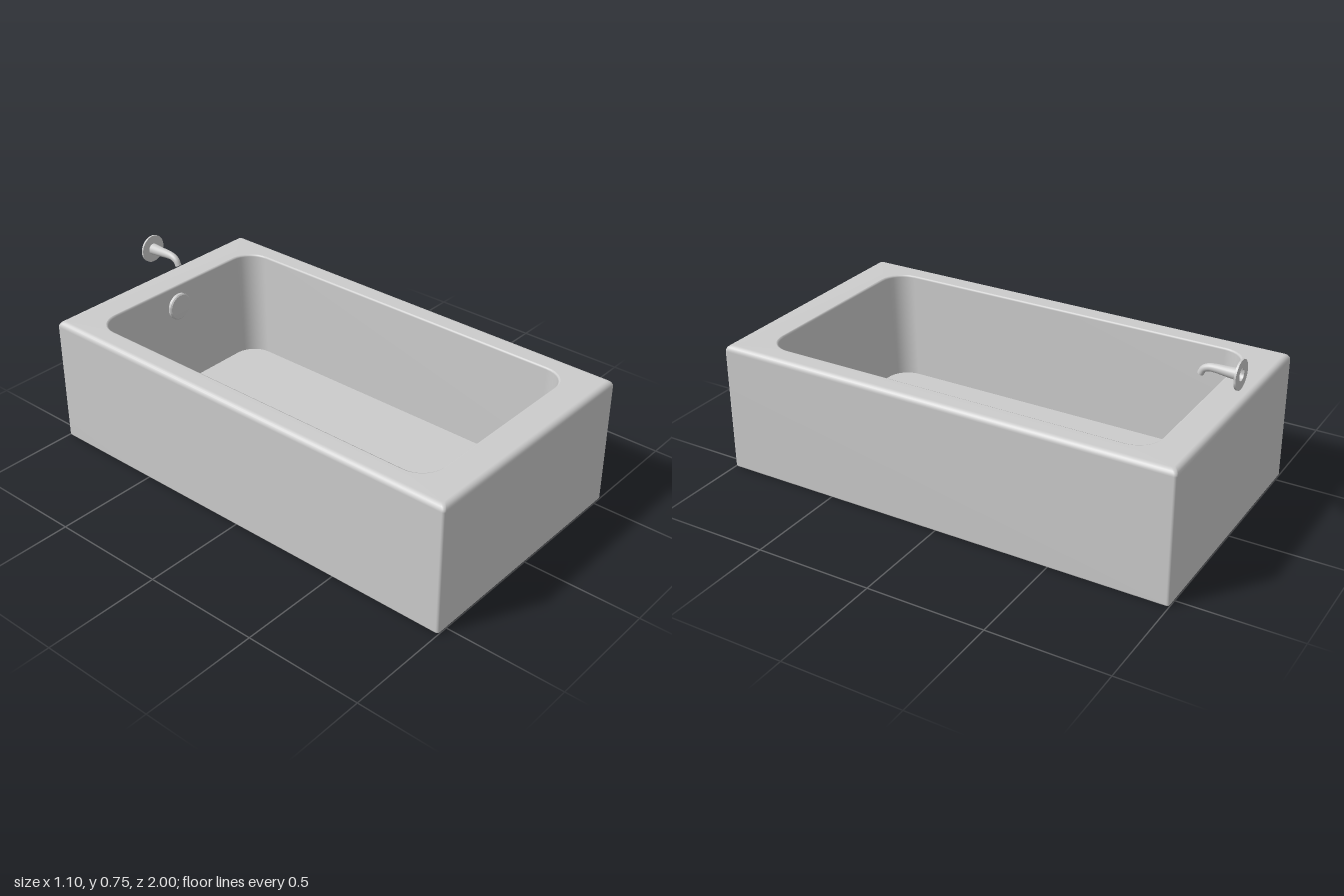
import * as THREE from 'three';
import { toCreasedNormals } from 'three/addons/utils/BufferGeometryUtils.js';

const CORNER = 8;

// Rounded rectangle, counter-clockwise seen from above
function ring([hx, hz, r, y, zc = 0]) {
  const pts = [];
  const signs = [[1, -1], [-1, -1], [-1, 1], [1, 1]];
  signs.forEach(([sx, sz], q) => {
    for (let i = 0; i <= CORNER; i++) {
      const a = (q + i / CORNER) * Math.PI / 2;
      pts.push(sx * (hx - r) + r * Math.cos(a), y, zc + sz * (hz - r) - r * Math.sin(a));
    }
  });
  return pts;
}

// Skin through a list of rounded rectangles
function loft(sections) {
  const n = 4 * (CORNER + 1);
  const pos = sections.flatMap(ring);
  const index = [];
  for (let k = 0; k < sections.length - 1; k++) {
    for (let i = 0; i < n; i++) {
      const a = k * n + i, b = k * n + (i + 1) % n;
      index.push(a, b, a + n, b, b + n, a + n);
    }
  }
  const g = new THREE.BufferGeometry();
  g.setAttribute('position', new THREE.Float32BufferAttribute(pos, 3));
  g.setIndex(index);
  g.computeVertexNormals();
  return g;
}

// Turned part whose axis points to +z
function turned(profile) {
  const g = new THREE.LatheGeometry(profile.map(p => new THREE.Vector2(...p)), 40);
  return toCreasedNormals(g.rotateX(Math.PI / 2), 0.5);
}

export function createModel() {
  const group = new THREE.Group();
  const enamel = new THREE.MeshStandardMaterial({ color: 0xcccccc, side: THREE.DoubleSide });
  enamel.name = 'lightGrey';
  const add = (name, geometry, x = 0, y = 0, z = 0) => {
    const m = new THREE.Mesh(geometry, enamel);
    m.name = name;
    m.position.set(x, y, z);
    group.add(m);
  };

  // Outer shell: underside, sides and softly rounded top edge, then the flat rim
  const R = 0.025, top = 0.56;
  const shell = [[0, 0, 0, 0], [0.544, 0.994, 0.008, 0], [0.548, 0.998, 0.011, 0.002], [0.55, 1, 0.012, 0.007]];
  for (let i = 0; i <= 6; i++) {
    const a = i / 6 * Math.PI / 2, d = R * (1 - Math.cos(a));
    shell.push([0.55 - d, 1 - d, 0.012, top - R + R * Math.sin(a)]);
  }
  shell.push([0.462, 0.86, 0.107, top, -0.002]);
  add('outerShell', loft(shell));

  // Basin walls with a small eased lip
  add('basinWalls', loft([
    [0.462, 0.86, 0.107, top, -0.002],
    [0.457, 0.855, 0.104, top - 0.002, -0.002],
    [0.455, 0.853, 0.103, top - 0.008, -0.002],
    [0.445, 0.838, 0.1, 0.08, -0.002],
  ]));
  add('basinFloor', loft([[0.445, 0.838, 0.1, 0.08, -0.002], [0, 0, 0, 0.08]]));

  // Round overflow cover on the back wall
  add('overflowCover', turned([[0, 0], [0.06, 0], [0.06, 0.012], [0.055, 0.017], [0, 0.018]]), 0, 0.462, -0.854);

  // Wall flange with a hole for the pipe
  add('spoutFlange', turned([[0.024, 0], [0.06, 0], [0.06, 0.008], [0.024, 0.008], [0.024, 0]]), 0, 0.695, -1);

  // Tapered spout bending down at its tip
  const path = new THREE.CatmullRomCurve3([
    [0.694, -1], [0.695, -0.95], [0.697, -0.9], [0.695, -0.872], [0.684, -0.85], [0.662, -0.838],
  ].map(([y, z]) => new THREE.Vector3(0, y, z)));
  const rows = 28, sides = 20;
  const spout = new THREE.TubeGeometry(path, rows, 1, sides, false);
  const p = spout.attributes.position, v = new THREE.Vector3();
  for (let k = 0; k <= rows; k++) {
    const t = k / rows, c = path.getPointAt(t);
    const r = 0.013 + 0.012 * Math.pow(1 - t, 1.2);
    for (let i = 0; i <= sides; i++) {
      const id = k * (sides + 1) + i;
      v.fromBufferAttribute(p, id).sub(c).multiplyScalar(r).add(c);
      p.setXYZ(id, v.x, v.y, v.z);
    }
  }
  add('spout', spout);

  // Flat end closing the spout
  const tip = new THREE.CircleGeometry(0.013, sides);
  tip.applyQuaternion(new THREE.Quaternion().setFromUnitVectors(new THREE.Vector3(0, 0, 1), path.getTangentAt(1)));
  const end = path.getPointAt(1);
  add('spoutTip', tip, end.x, end.y, end.z);

  return group;
}
